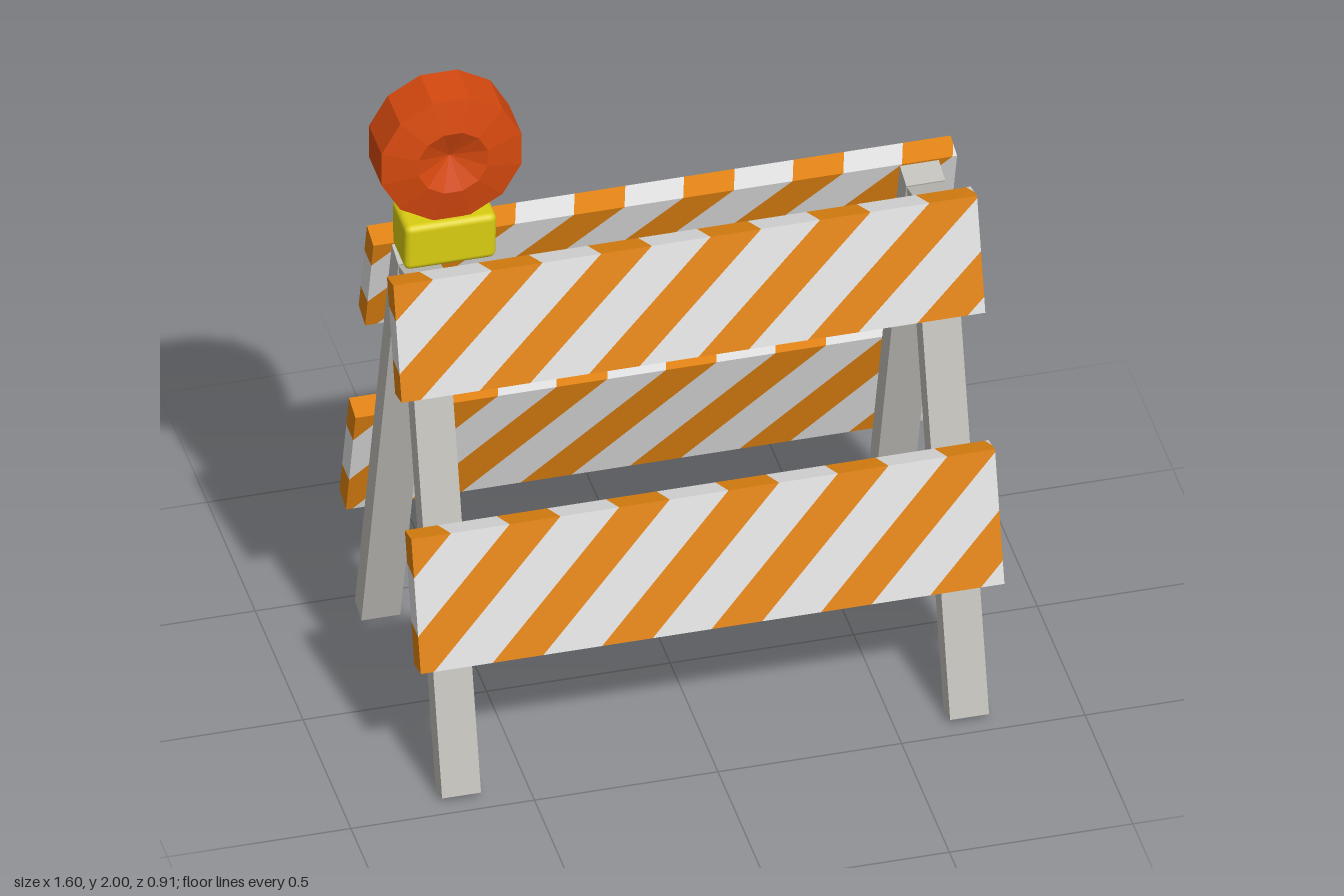
import * as THREE from 'three';
import { RoundedBoxGeometry } from 'three/addons/geometries/RoundedBoxGeometry.js';

const mat = (name, color) => Object.assign(new THREE.MeshStandardMaterial({ color }), { name });

const TILT = THREE.MathUtils.degToRad(15);
const SIN = Math.sin(TILT), COS = Math.cos(TILT);
const MID = 0.005;          // middle of the frame in x
const THICK = 0.07;         // thickness of legs and boards
const PERIOD = 0.298, ORANGE = 0.138, START = 0.67;

// Cut a convex polygon, keeping the side where f(point) >= 0
function clip(poly, f) {
  const out = [];
  poly.forEach((a, i) => {
    const b = poly[(i + 1) % poly.length];
    const fa = f(a), fb = f(b);
    if (fa >= 0) out.push(a);
    if ((fa >= 0) !== (fb >= 0)) out.push(a.clone().lerp(b, fa / (fa - fb)));
  });
  return out;
}

// Tilted board whose faces are cut into diagonal bands; side is +1 front, -1 back
function boardGeometry(side, z0, y0, length, slope) {
  const corner = (i, j, k) => new THREE.Vector3(
    MID + (i ? 0.795 : -0.795),
    y0 + j * length * COS + k * THICK * SIN,
    side * (z0 - j * length * SIN + k * THICK * COS));
  const faces = [
    [[0, 0, 1], [1, 0, 1], [1, 1, 1], [0, 1, 1]],
    [[1, 0, 0], [0, 0, 0], [0, 1, 0], [1, 1, 0]],
    [[1, 0, 1], [1, 0, 0], [1, 1, 0], [1, 1, 1]],
    [[0, 0, 0], [0, 0, 1], [0, 1, 1], [0, 1, 0]],
    [[0, 1, 1], [1, 1, 1], [1, 1, 0], [0, 1, 0]],
    [[0, 0, 0], [1, 0, 0], [1, 0, 1], [0, 0, 1]],
  ].map((f) => f.map((c) => corner(...c)));
  if (side < 0) faces.forEach((f) => f.reverse());

  const top = corner(0, 1, 1).y;
  const level = (p) => p.x + slope * (top - p.y);
  const bands = [[], []];   // orange, white
  for (const face of faces) {
    for (let k = -6; k <= 3; k++) {
      const a = START + k * PERIOD;
      [[a, a + ORANGE], [a + ORANGE, a + PERIOD]].forEach(([lo, hi], colour) => {
        const piece = clip(clip(face, (p) => level(p) - lo), (p) => hi - level(p));
        for (let i = 2; i < piece.length; i++) {
          for (const p of [piece[0], piece[i - 1], piece[i]]) bands[colour].push(p.x, p.y, p.z);
        }
      });
    }
  }
  const g = new THREE.BufferGeometry();
  g.setAttribute('position', new THREE.Float32BufferAttribute(bands.flat(), 3));
  g.addGroup(0, bands[0].length / 3, 0);
  g.addGroup(bands[0].length / 3, bands[1].length / 3, 1);
  g.computeVertexNormals();
  return g;
}

// Faceted solid of revolution
function facetedLathe(points, sides) {
  const g = new THREE.LatheGeometry(points.map((p) => new THREE.Vector2(...p)), sides, Math.PI / sides).toNonIndexed();
  g.computeVertexNormals();
  return g;
}

export function createModel() {
  const model = new THREE.Group();
  model.name = 'roadBarricade';
  const orange = mat('stripeOrange', 0xe08211);
  const white = mat('stripeWhite', 0xdedede);
  const grey = mat('legGrey', 0xc0bfb9);
  const red = mat('lampRed', 0xd6490f);
  const yellow = mat('lampBaseYellow', 0xdacd12);

  const add = (name, geometry, material, x = 0, y = 0, z = 0) => {
    const mesh = new THREE.Mesh(geometry, material);
    mesh.name = name;
    mesh.position.set(x, y, z);
    model.add(mesh);
    return mesh;
  };

  // Two leaning halves, each with two legs and two striped boards
  for (const side of [1, -1]) {
    const half = side > 0 ? 'front' : 'back';
    for (const x of [0.692, -0.692]) {
      const leg = add(half + (x > 0 ? 'LeftLeg' : 'RightLeg'),
        new THREE.BoxGeometry(0.106, 1.49, THICK), grey, MID + x, 0.729, side * 0.229);
      leg.rotation.x = -side * TILT;
    }
    add(half + 'UpperBoard', boardGeometry(side, 0.157, 1.14, 0.333, 1.1), [orange, white]);
    add(half + 'LowerBoard', boardGeometry(side, 0.357, 0.395, 0.383, 1.0), [orange, white]);
  }

  // Lamp base, narrowing slightly towards the bottom
  const base = new RoundedBoxGeometry(0.25, 0.145, 0.152, 3, 0.018);
  const pos = base.attributes.position;
  for (let i = 0; i < pos.count; i++) {
    if (pos.getY(i) < 0) pos.setZ(i, pos.getZ(i) * 0.9);
  }
  add('lampBase', base, yellow, -0.615, 1.538, 0);

  // Lamp neck and twelve-sided lamp with dished lenses
  add('lampNeck', new THREE.BoxGeometry(0.075, 0.04, 0.11), red, -0.615, 1.612, 0);
  const lamp = add('lamp', facetedLathe([
    [0, -0.045], [0.098, -0.085], [0.197, -0.066],
    [0.197, 0.066], [0.098, 0.085], [0, 0.045],
  ], 12), red, -0.613, 1.81, 0);
  lamp.rotation.x = Math.PI / 2;

  return model;
}
